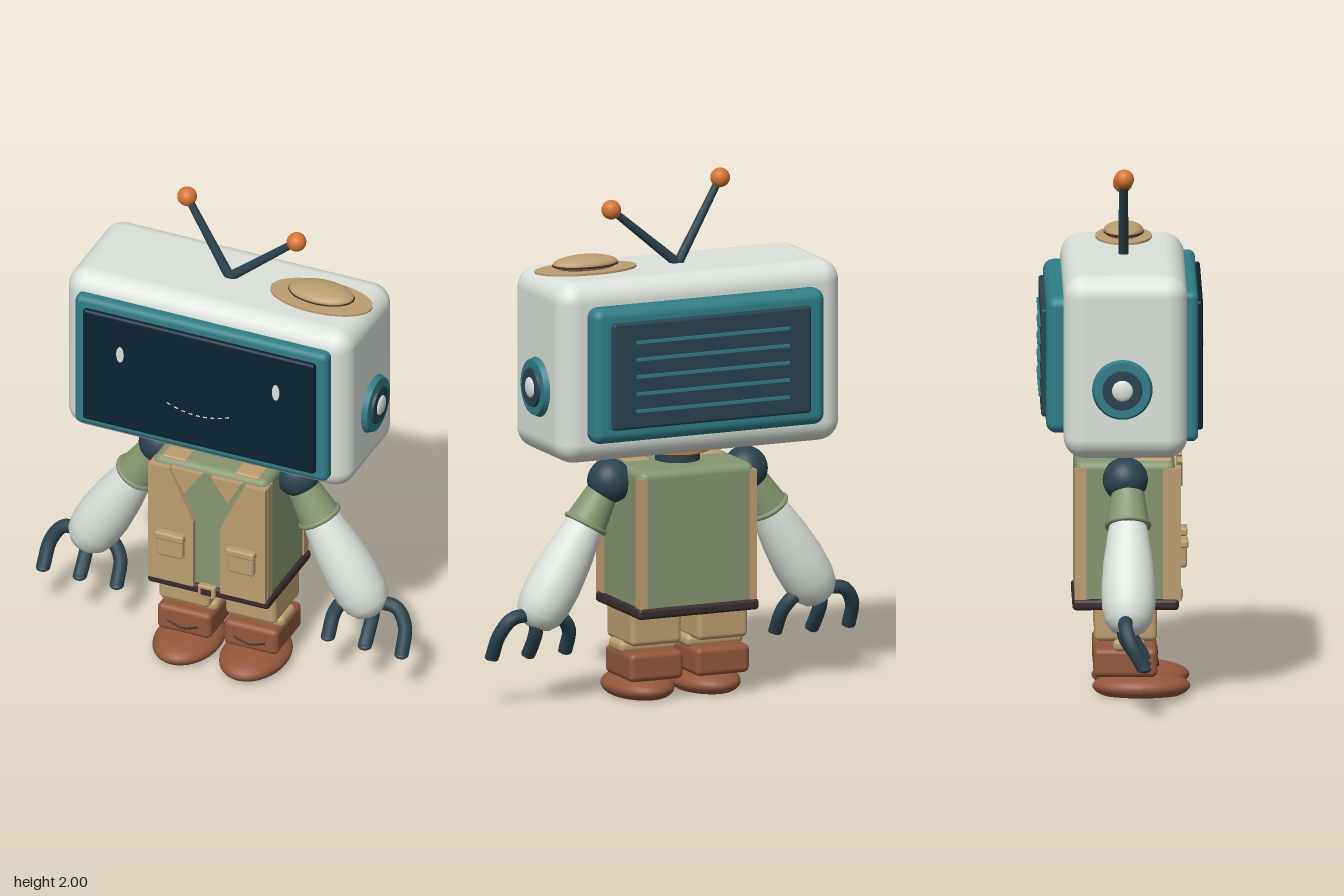
import * as THREE from 'three';
import { RoundedBoxGeometry } from 'three/addons/geometries/RoundedBoxGeometry.js';

const mat = (name, color, side = THREE.FrontSide) => {
  const m = new THREE.MeshStandardMaterial({ color, side });
  m.name = name;
  return m;
};

export function createModel() {
  const white = mat('shell white', 0xdce2db);
  const teal = mat('teal', 0x2f7e87);
  const navy = mat('screen navy', 0x0c2330);
  const slate = mat('slate', 0x2a434e);
  const orange = mat('orange', 0xd67532);
  const green = mat('shirt green', 0x86966f);
  const tan = mat('tan', 0xbd9e70);
  const brown = mat('boot brown', 0x93573a);
  const dark = mat('belt brown', 0x382c2d);

  const root = new THREE.Group();
  root.name = 'robot';
  const add = (parent, name, geo, material, x = 0, y = 0, z = 0) => {
    const m = new THREE.Mesh(geo, material);
    m.name = name;
    m.position.set(x, y, z);
    parent.add(m);
    return m;
  };
  const group = (name, parent = root) => {
    const g = new THREE.Group();
    g.name = name;
    parent.add(g);
    return g;
  };
  const rbox = (w, h, d, r) => new RoundedBoxGeometry(w, h, d, 4, r);
  const ball = (r) => new THREE.SphereGeometry(r, 28, 18);
  const tube = (pts, r, n = 16) => new THREE.TubeGeometry(
    new THREE.CatmullRomCurve3(pts.map((p) => new THREE.Vector3(...p))), n, r, 12);
  const plate = (pts, depth) => new THREE.ExtrudeGeometry(
    new THREE.Shape(pts.map((p) => new THREE.Vector2(...p))), { depth, bevelEnabled: false });
  const UP = new THREE.Vector3(0, 1, 0);

  // Head shell, screen and back vent
  const head = group('head');
  add(head, 'headShell', rbox(1.17, 0.695, 0.465, 0.08), white, 0, 1.307, 0.013);
  add(head, 'screenBezel', rbox(1.04, 0.57, 0.12, 0.025), teal, 0, 1.305, 0.226);
  add(head, 'screen', rbox(0.954, 0.49, 0.06, 0.012), navy, 0, 1.305, 0.275);
  add(head, 'backFrame', rbox(0.96, 0.52, 0.14, 0.04), teal, 0, 1.305, -0.215);
  add(head, 'ventPanel', rbox(0.82, 0.41, 0.05, 0.012), slate, 0, 1.305, -0.278);
  for (let i = 0; i < 5; i++)
    add(head, 'ventSlat', new THREE.BoxGeometry(0.63, 0.012, 0.012), teal, 0, 1.17 + i * 0.066, -0.305);

  // Face
  for (const s of [-1, 1]) {
    const eye = add(head, 'eye', new THREE.CylinderGeometry(1, 1, 0.004, 24), white, s * 0.32, 1.39, 0.306);
    eye.rotation.x = Math.PI / 2;
    eye.scale.set(0.015, 1, 0.034);
  }
  for (let i = -4; i <= 4; i++) {
    const dash = add(head, 'smileDash', new THREE.BoxGeometry(0.016, 0.004, 0.004), white,
      i * 0.03, 1.2 + i * i * 0.0015, 0.305);
    dash.rotation.z = i * 0.09;
  }

  // Ear dials
  for (const s of [-1, 1]) {
    const ear = group('earDial', head);
    ear.position.set(s * 0.58, 1.23, 0);
    ear.rotation.z = -s * Math.PI / 2;
    add(ear, 'earRing', new THREE.CylinderGeometry(0.105, 0.117, 0.03, 36), teal, 0, 0.012, 0);
    add(ear, 'earDisc', new THREE.CylinderGeometry(0.072, 0.08, 0.03, 36), slate, 0, 0.022, 0);
    add(ear, 'earKnob', ball(0.04), white, 0, 0.035, 0).scale.y = 0.35;
  }

  // Antennas
  for (const [x, y] of [[-0.175, 1.965], [0.275, 1.88]]) {
    const dir = new THREE.Vector3(x, y - 1.65, 0);
    const rod = add(head, 'antennaRod', new THREE.CylinderGeometry(0.014, 0.019, dir.length(), 14),
      slate, x / 2, (y + 1.65) / 2, 0.012);
    rod.quaternion.setFromUnitVectors(UP, dir.normalize());
    add(head, 'antennaTip', ball(0.037), orange, x, y, 0.012);
  }

  // Small hat resting on the head
  const hat = group('hat', head);
  hat.position.set(0.38, 1.662, 0.017);
  add(hat, 'hatBrim', new THREE.CylinderGeometry(1, 1, 0.008, 48), tan).scale.set(0.205, 1, 0.106);
  add(hat, 'hatCrown', ball(1), tan, 0, 0.022, 0).scale.set(0.13, 0.031, 0.075);
  const band = add(hat, 'hatBand', new THREE.TorusGeometry(1, 0.03, 6, 48), dark, 0, 0.018, 0);
  band.rotation.x = Math.PI / 2;
  band.scale.set(0.129, 0.074, 0.12);

  // Neck
  add(root, 'neckRing', new THREE.CylinderGeometry(0.12, 0.12, 0.024, 36), orange, 0, 0.95, 0.015);
  add(root, 'neck', new THREE.CylinderGeometry(0.085, 0.085, 0.08, 32), slate, 0, 0.91, 0.015);

  // Torso, vest and belt
  const torso = group('torso');
  add(torso, 'shirt', rbox(0.472, 0.56, 0.376, 0.03), green, 0, 0.62, 0.015);
  for (const s of [-1, 1]) {
    const m = (pts) => pts.map(([x, y]) => [s * x, y]);
    add(torso, 'vestFront', plate(m([[0.24, 0.37], [0.055, 0.37], [0.055, 0.66], [0.155, 0.875], [0.24, 0.875]]), 0.022),
      tan, 0, 0, 0.203);
    add(torso, 'lapel', plate(m([[0.02, 0.885], [0.09, 0.785], [0.145, 0.885]]), 0.02), tan, 0, 0, 0.212);
    add(torso, 'vestSideFront', new THREE.BoxGeometry(0.03, 0.51, 0.048), tan, s * 0.226, 0.62, 0.181);
    add(torso, 'vestSideBack', new THREE.BoxGeometry(0.03, 0.51, 0.044), tan, s * 0.226, 0.62, -0.153);
    add(torso, 'shoulderStrap', rbox(0.1, 0.02, 0.15, 0.008), tan, s * 0.15, 0.895, 0.115);
    add(torso, 'pocket', rbox(0.11, 0.1, 0.04, 0.012), tan, s * 0.145, 0.54, 0.228);
    add(torso, 'pocketFlap', rbox(0.118, 0.03, 0.046, 0.008), tan, s * 0.145, 0.58, 0.23);
  }
  add(torso, 'belt', rbox(0.5, 0.042, 0.4, 0.015), dark, 0, 0.357, 0.017);
  add(torso, 'buckle', rbox(0.07, 0.052, 0.025, 0.006), tan, 0, 0.362, 0.218);
  add(torso, 'buckleCentre', new THREE.BoxGeometry(0.042, 0.026, 0.006), dark, 0, 0.362, 0.23);

  // Arms: shoulder, sleeve, rounded forearm and three claws
  const profile = [[0, 0], [0.035, 0.005], [0.065, 0.022], [0.088, 0.055], [0.1, 0.11], [0.102, 0.19],
    [0.093, 0.3], [0.078, 0.4], [0.066, 0.47]].map((p) => new THREE.Vector2(...p));
  const claws = [
    [[0.61, 0.355, 0.015], [0.685, 0.345, 0.01], [0.728, 0.285, 0.03], [0.737, 0.19, 0.08]],
    [[0.588, 0.35, 0.0], [0.587, 0.29, 0.01], [0.586, 0.24, 0.04], [0.586, 0.19, 0.08]],
    [[0.55, 0.355, 0.015], [0.485, 0.335, 0.01], [0.442, 0.28, 0.03], [0.434, 0.19, 0.08]],
  ];
  for (const s of [-1, 1]) {
    const arm = group(s > 0 ? 'leftArm' : 'rightArm');
    add(arm, 'shoulder', ball(0.085), slate, s * 0.28, 0.84, 0.015);
    const limb = group('limb', arm);
    limb.position.set(s * 0.6, 0.3, 0.024);
    limb.quaternion.setFromUnitVectors(UP, new THREE.Vector3(-s * 0.23, 0.39, 0).normalize());
    add(limb, 'forearm', new THREE.LatheGeometry(profile, 32), white);
    add(limb, 'sleeve', new THREE.CylinderGeometry(0.062, 0.081, 0.13, 32), green, 0, 0.505, 0);
    add(limb, 'sleeveCuff', new THREE.TorusGeometry(0.078, 0.01, 10, 36), green, 0, 0.443, 0).rotation.x = Math.PI / 2;
    for (const c of claws) {
      const pts = c.map(([x, y, z]) => [s * x, y, z]);
      add(arm, 'claw', tube(pts, 0.027), slate);
      add(arm, 'clawTip', ball(0.027), slate, ...pts[3]).scale.y = 0.5;
    }
  }

  // Flat-soled foot: a sphere with its underside levelled
  const footGeo = new THREE.SphereGeometry(1, 36, 24);
  const p = footGeo.attributes.position;
  for (let i = 0; i < p.count; i++) p.setY(i, Math.max(p.getY(i), -0.6));
  footGeo.scale(0.128, 0.056, 0.184);
  footGeo.computeVertexNormals();

  // Legs and boots
  for (const s of [-1, 1]) {
    const leg = group(s > 0 ? 'leftLeg' : 'rightLeg');
    const x = s * 0.137;
    add(leg, 'trouserLeg', rbox(0.208, 0.15, 0.235, 0.02), tan, x, 0.292, 0.017);
    add(leg, 'trouserCuff', rbox(0.238, 0.05, 0.12, 0.022), tan, x, 0.203, 0.03);
    add(leg, 'bootShaft', rbox(0.222, 0.11, 0.24, 0.022), brown, x, 0.135, 0.016);
    add(leg, 'foot', footGeo, brown, x, 0.034, 0.077);
    add(leg, 'lace', tube([[-0.065, 0.13, 0.137], [0, 0.112, 0.14], [0.065, 0.13, 0.137]], 0.004), dark, x, 0, 0);
  }
  return root;
}
